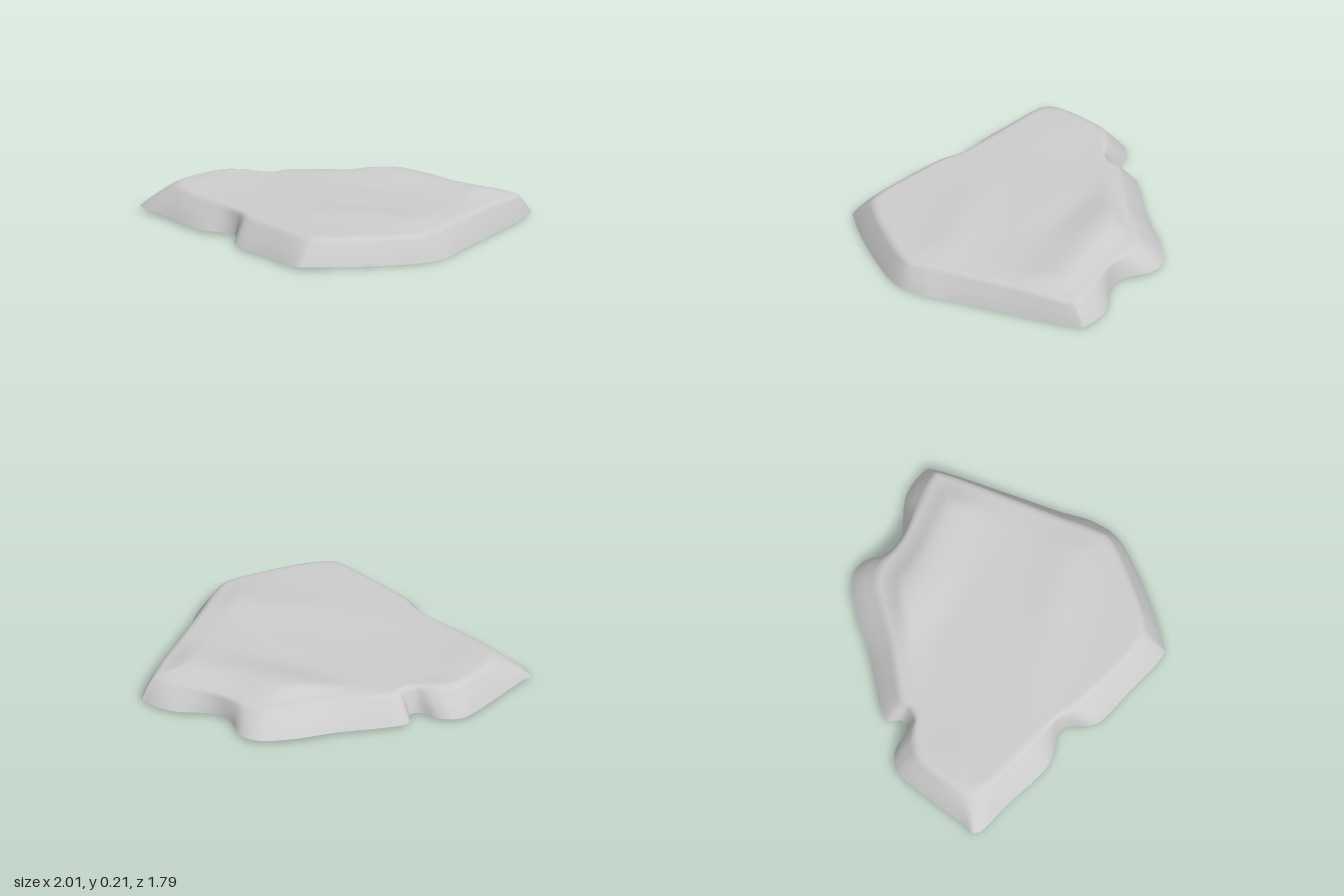
import * as THREE from 'three';

// Paired loop points: foot x, foot z, rim x, rim z
const EDGE = [
  [1.00, 0.12, 0.91, 0.17], [0.97, 0.33, 0.90, 0.30], [0.75, 0.65, 0.71, 0.56],
  [0.57, 0.845, 0.57, 0.71], [0.48, 0.89, 0.45, 0.76], [0.18, 0.835, 0.14, 0.70],
  [-0.05, 0.785, -0.06, 0.65], [-0.15, 0.66, -0.16, 0.605], [-0.23, 0.625, -0.23, 0.585],
  [-0.43, 0.675, -0.43, 0.54], [-0.75, 0.60, -0.72, 0.48], [-0.985, 0.545, -0.82, 0.425],
  [-0.98, 0.42, -0.855, 0.29], [-0.93, 0.03, -0.82, 0.06], [-0.88, -0.08, -0.74, -0.04],
  [-0.79, -0.13, -0.67, -0.08], [-0.67, -0.135, -0.61, -0.11], [-0.625, -0.19, -0.57, -0.165],
  [-0.655, -0.295, -0.53, -0.26], [-0.37, -0.57, -0.28, -0.47], [-0.20, -0.76, -0.11, -0.64],
  [-0.04, -0.885, 0.00, -0.74], [0.09, -0.89, 0.11, -0.765], [0.22, -0.795, 0.23, -0.75],
  [0.35, -0.785, 0.35, -0.75], [0.56, -0.885, 0.56, -0.775], [0.74, -0.88, 0.71, -0.79],
  [0.80, -0.81, 0.76, -0.74], [0.89, -0.40, 0.82, -0.37], [0.95, -0.09, 0.87, -0.06],
];
const N = 240;
const CENTRE = new THREE.Vector3(0.08, 0, 0.02);

const bump = (d, w) => Math.exp(-(d * d) / (w * w));
const footHeight = (x, z) => Math.max(0, 0.012 - 0.01 * x + 0.012 * z * z);

// The rim dips at the back and right and lifts at the left
const rimHeight = (x, z) =>
  0.165 - 0.018 * bump(z + 0.8, 0.2) - 0.012 * bump(x - 0.95, 0.2) + 0.014 * bump(x + 0.85, 0.2);

// Gentle ridges and hollows worn into the upper face
function topHeight(x, z) {
  const back = (0.026 + 0.02 * bump(x, 0.3)) * bump(z + 0.52 + 0.1 * x, 0.17);
  const middle = 0.018 * bump(z - 0.2 + 0.3 * (x - 0.45), 0.15) * bump(x - 0.5, 0.4);
  const left = 0.015 * bump(x + 0.75, 0.2) * bump(z - 0.25, 0.2);
  const hollow = 0.006 * bump(x - 0.05, 0.3) * bump(z + 0.27, 0.1);
  return 0.165 + back + middle + left - hollow;
}

// Skins a stack of closed rings, each with N points
function skin(rings, flip) {
  const positions = [], index = [];
  rings.forEach(ring => ring.forEach(p => positions.push(p.x, p.y, p.z)));
  for (let r = 0; r < rings.length - 1; r++) {
    for (let i = 0; i < N; i++) {
      const a = r * N + i, b = r * N + (i + 1) % N, c = a + N, d = b + N;
      if (flip) index.push(a, b, c, b, d, c);
      else index.push(a, c, b, b, c, d);
    }
  }
  const geometry = new THREE.BufferGeometry();
  geometry.setAttribute('position', new THREE.Float32BufferAttribute(positions, 3));
  geometry.setIndex(index);
  geometry.computeVertexNormals();
  return geometry;
}

// Smooth closed loop through the points, lifted by a height rule
function sampleLoop(points, height) {
  const curve = new THREE.CatmullRomCurve3(
    points.map(([x, z]) => new THREE.Vector3(x, 0, z)), true, 'catmullrom', 0.5);
  return Array.from({ length: N }, (_, i) => {
    const p = curve.getPoint(i / N);
    return p.setY(height(p.x, p.z));
  });
}

export function createModel() {
  const group = new THREE.Group();
  group.name = 'rockSlab';
  const material = new THREE.MeshStandardMaterial({ color: 0xcccccc });

  const foot = sampleLoop(EDGE, footHeight);
  const rim = sampleLoop(EDGE.map(e => e.slice(2)), rimHeight);

  // A point on the upper face, s = 1 at the rim and 0 at the centre
  const topPoint = (i, s) => {
    const p = CENTRE.clone().lerp(rim[i], s);
    const blend = THREE.MathUtils.smoothstep(1 - s, 0, 0.22);
    return p.setY(THREE.MathUtils.lerp(rim[i].y, topHeight(p.x, p.z), blend));
  };
  // A point on the slightly bulging wall, t = 0 at the foot and 1 at the rim
  const wallPoint = (i, t) => {
    const p = foot[i].clone().lerp(rim[i], t);
    p.y += 0.012 * Math.sin(Math.PI * t) * (1 - t);
    return p;
  };

  const rings = [];
  const addRing = fn => rings.push(foot.map((_, i) => fn(i)));
  // Sloping wall
  for (let k = 0; k <= 6; k++) addRing(i => wallPoint(i, 0.8 * k / 6));
  // Rounded rim
  for (let k = 1; k <= 6; k++) {
    const t = k / 6;
    addRing(i => wallPoint(i, 0.8).multiplyScalar((1 - t) ** 2)
      .addScaledVector(rim[i], 2 * t * (1 - t))
      .addScaledVector(topPoint(i, 0.95), t * t));
  }
  // Upper face
  for (let k = 1; k <= 30; k++) addRing(i => topPoint(i, 0.95 * (1 - k / 30)));

  const body = new THREE.Mesh(skin(rings, false), material);
  body.name = 'slabBody';

  // Underside
  const under = [1, 0.75, 0.5, 0.25, 0].map(s => foot.map(f => {
    const p = CENTRE.clone().lerp(f, s);
    return p.setY(footHeight(p.x, p.z));
  }));
  const underside = new THREE.Mesh(skin(under, true), material);
  underside.name = 'underside';

  group.add(body, underside);
  return group;
}
